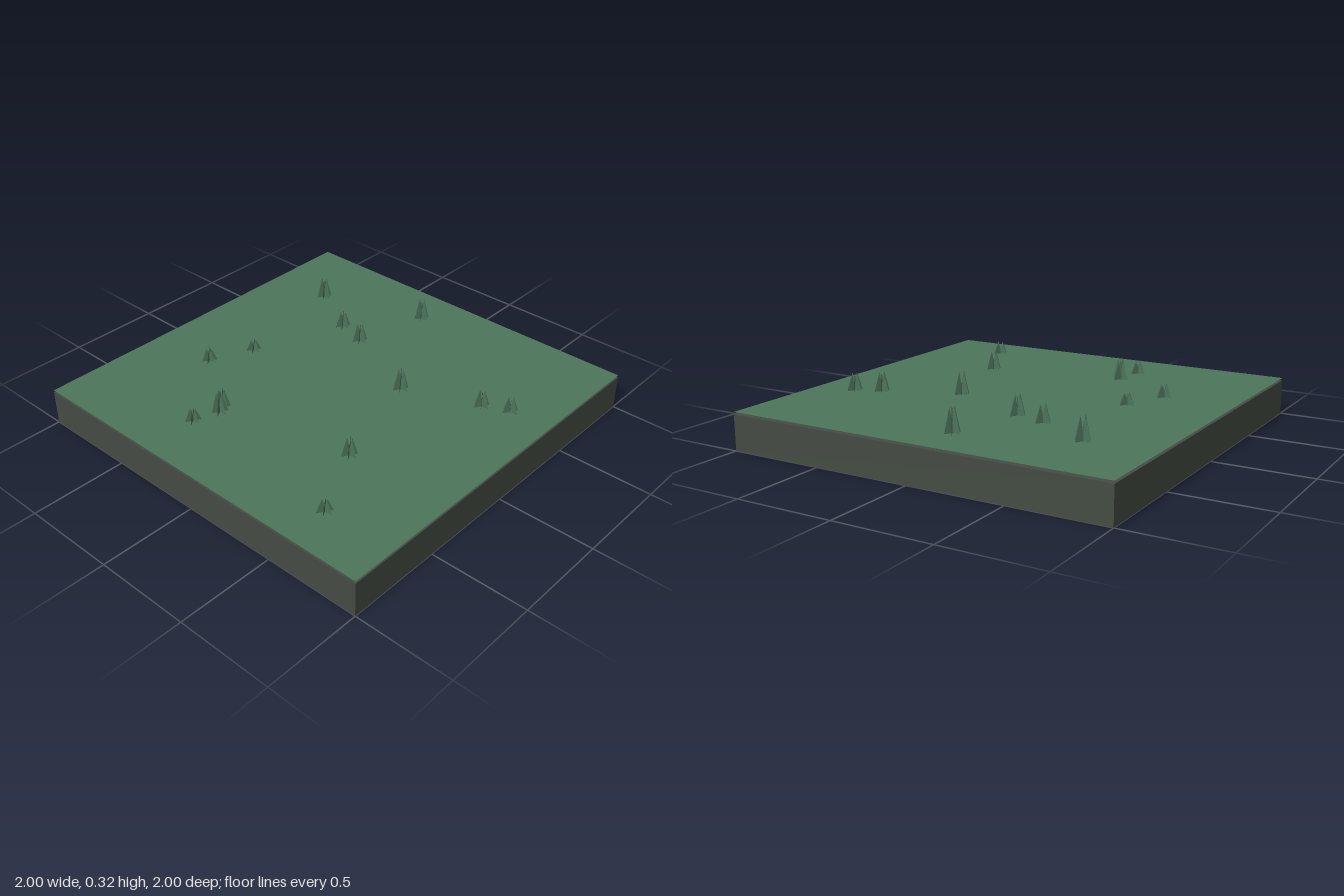
import * as THREE from 'three';

const soil = new THREE.MeshStandardMaterial({ color: 0x444c43 });
soil.name = 'dark soil';
const grass = new THREE.MeshStandardMaterial({ color: 0x4c755b, side: THREE.DoubleSide });
grass.name = 'grass green';

const GROUND = 0.193;

// x, z and tip height of each tuft
const TUFTS = [
  [-0.09, -0.77, 0.32], [-0.645, -0.59, 0.315], [-0.35, -0.42, 0.285], [-0.185, -0.37, 0.3],
  [0.265, -0.165, 0.315], [0.65, -0.315, 0.295], [0.78, -0.37, 0.285], [-0.535, 0.07, 0.255],
  [-0.63, 0.295, 0.265], [0.435, 0.405, 0.295], [-0.275, 0.535, 0.3], [-0.255, 0.57, 0.305],
  [-0.295, 0.705, 0.265], [0.62, 0.77, 0.265],
];

// Six upright triangular blades fanned around the centre, of unit height
function tuftGeometry() {
  const points = [];
  for (let i = 0; i < 6; i++) {
    const a = (i * Math.PI) / 3;
    for (const [r, y] of [[-0.008, 0], [0.041, 0], [0.013, i % 2 ? 0.93 : 1]]) {
      points.push(r * Math.cos(a), y, r * Math.sin(a));
    }
  }
  const g = new THREE.BufferGeometry();
  g.setAttribute('position', new THREE.Float32BufferAttribute(points, 3));
  g.computeVertexNormals();
  return g;
}

export function createModel() {
  const model = new THREE.Group();
  model.name = 'grassTile';

  // Earth slab
  const slab = new THREE.Mesh(new THREE.BoxGeometry(2, 0.18, 2), soil);
  slab.name = 'earthSlab';
  slab.position.y = 0.09;
  model.add(slab);

  // Thin lawn sheet just above the slab
  const lawn = new THREE.Mesh(new THREE.PlaneGeometry(2, 2).rotateX(-Math.PI / 2), grass);
  lawn.name = 'lawn';
  lawn.position.y = GROUND;
  model.add(lawn);

  // Scattered grass tufts
  const blades = tuftGeometry();
  TUFTS.forEach(([x, z, top], i) => {
    const tuft = new THREE.Mesh(blades, grass);
    tuft.name = `grassTuft${i + 1}`;
    tuft.position.set(x, GROUND, z);
    tuft.scale.y = top - GROUND;
    model.add(tuft);
  });

  return model;
}
